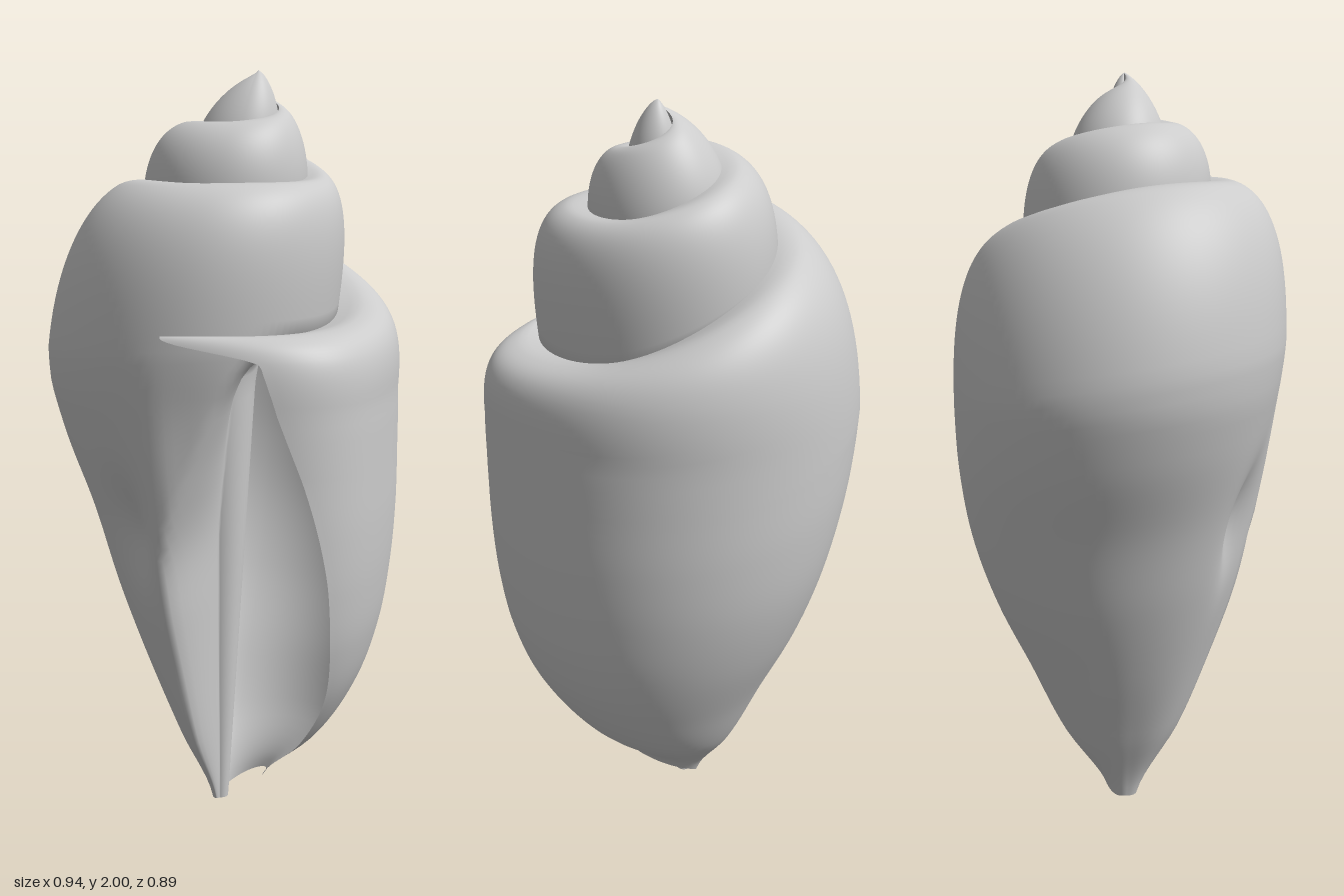
import * as THREE from 'three';

// Values every quarter turn, counted back from the lip towards the apex
const RADIUS = [.435, .47, .46, .475, .41, .29, .27, .265, .22, .165, .15, .14, .1, .07, .04, .015, 0, 0];
const SUTURE = [1.38, 1.41, 1.6, 1.73, 1.735, 1.745, 1.82, 1.875, 1.88, 1.91, 1.95, 1.98, 2, 2, 2, 2];
const WAIST = [1.05, 1.05, 1.15, 1.28, ...SUTURE.map((y) => y - .04)];
const ROUNDNESS = [.45, .55, .75, .95, .7, .7, .8, .8, .9, 1.2, 1.3, 1.3, 1.4];
const BASE = [.1, .1, .01, 0, 0];
// Taper from base to waist for the five quarter marks of the body whorl
const TAPER = [
  [.3, .54, .76, .89, .96, .99, 1],
  [.28, .62, .82, .93, .98, 1, 1],
  [.1, .37, .57, .77, .91, .98, 1],
  [.05, .23, .42, .59, .73, .9, 1],
  [.07, .34, .53, .69, .81, .91, 1],
];
// Angles by height (every 0.2) where the lip and the columella edge lie
const LIP = [72, 60, 56, 51, 47, 41, 33, 24];
const COLUMELLA = [346, 346, 346, 347, 349, 361, 374, 386];

// Smooth interpolation in an evenly spaced list
function sample(list, x) {
  const last = list.length - 1;
  x = THREE.MathUtils.clamp(x, 0, last);
  const i = Math.min(Math.floor(x), last - 1);
  const f = x - i;
  const at = (k) => list[THREE.MathUtils.clamp(k, 0, last)];
  const m0 = (at(i + 1) - at(i - 1)) / 2;
  const m1 = (at(i + 2) - at(i)) / 2;
  return at(i) * (2 * f ** 3 - 3 * f * f + 1) + m0 * (f ** 3 - 2 * f * f + f)
    + at(i + 1) * (3 * f * f - 2 * f ** 3) + m1 * (f ** 3 - f * f);
}

const UPPER = 24, LOWER = 44, STEP = 3, END = 1350, BODY_END = 660;

// Radius and height of row j of the whorl section at angle t (degrees)
function section(t, j) {
  const q = t / 90;
  // the outer wall swells behind the lip
  const radius = sample(RADIUS, q) + .073 * Math.exp(-(((t - 45) / 27) ** 2));
  const inner = Math.max(0, sample(RADIUS, q + 4)) * .95;
  const waist = sample(WAIST, q);
  if (j <= UPPER) {
    // rounded shoulder from suture to waist, with a shallow channel
    const a = (j / UPPER) * Math.PI / 2;
    const p = sample(ROUNDNESS, q);
    const f = Math.sin(a) ** p;
    const y = waist + (sample(SUTURE, q) - waist) * Math.max(0, Math.cos(a)) ** p;
    const channel = .05 * inner * Math.max(0, 1 - 3 * f);
    return [inner + (radius - inner) * f, y - channel];
  }
  // taper to the base
  const w = 1 - (j - UPPER) / LOWER;
  const base = sample(BASE, q);
  const y = base + (waist - base) * w;
  let r = radius * sample(TAPER.map((row) => sample(row, w * 6)), q);
  // hollow beside the columella, and the ridge along its edge
  r -= .045 * Math.exp(-(((t - 332) / 11) ** 2) - ((y - .85) / .13) ** 2);
  r += .025 * Math.exp(-(((t - 352) / 9) ** 2)) * Math.sin(Math.PI * w);
  // wall turns in behind the aperture and wraps round the central column
  const edge = sample(COLUMELLA, y / .2);
  const turn = THREE.MathUtils.smoothstep(t, edge, edge + 24)
    * THREE.MathUtils.smoothstep(1 - w, 0, .07);
  const core = Math.min(r, .02 + .06 * y);
  return [THREE.MathUtils.lerp(r, core, turn), y];
}

function shellPoint(t, j) {
  // trim the lip to its curved edge; its top corner runs on over the last whorl
  const height = section(t, j)[1];
  const lip = THREE.MathUtils.lerp(sample(LIP, height / .2), -6,
    THREE.MathUtils.smoothstep(height, 1.32, 1.375));
  const angle = t + lip * Math.max(0, 1 - t / 180);
  const [r, y] = section(angle, j);
  const rad = THREE.MathUtils.degToRad(angle);
  const axis = .1 * THREE.MathUtils.clamp((y - 1.2) / .8, 0, 1);
  return [axis + r * Math.sin(rad), y, r * Math.cos(rad)];
}

export function createModel() {
  const group = new THREE.Group();
  group.name = 'seaShell';

  // One coiled sheet; only the last whorl reaches down to the base
  const positions = [], indices = [];
  const columns = END / STEP, rows = UPPER + LOWER;
  for (let i = 0; i <= columns; i++) {
    for (let j = 0; j <= rows; j++) positions.push(...shellPoint(i * STEP, j));
  }
  for (let i = 0; i < columns; i++) {
    const depth = i * STEP < BODY_END ? rows : UPPER;
    for (let j = 0; j < depth; j++) {
      const a = i * (rows + 1) + j;
      const b = a + rows + 1;
      indices.push(a, a + 1, b, b, a + 1, b + 1);
    }
  }
  const geometry = new THREE.BufferGeometry();
  geometry.setAttribute('position', new THREE.Float32BufferAttribute(positions, 3));
  geometry.setIndex(indices);
  geometry.computeVertexNormals();

  const shell = new THREE.Mesh(geometry, new THREE.MeshStandardMaterial({
    color: 0xcccccc, side: THREE.DoubleSide,
  }));
  shell.name = 'coiledShell';
  group.add(shell);
  return group;
}
